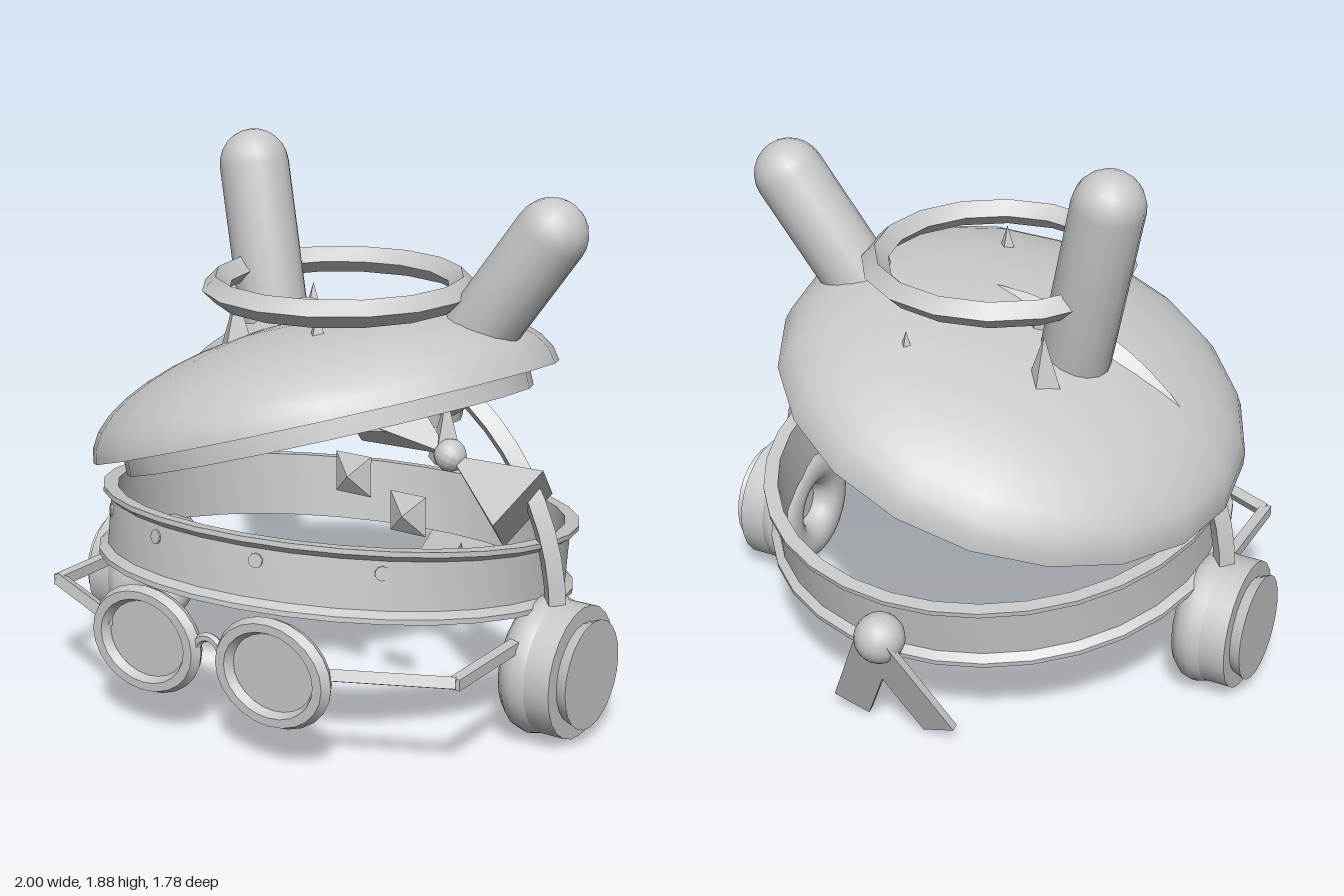
import * as THREE from 'three';
import { toCreasedNormals } from 'three/addons/utils/BufferGeometryUtils.js';

const grey = new THREE.MeshStandardMaterial({ color: 0xc8c8c8 });
grey.name = 'plain grey';
const V = (x, y, z) => new THREE.Vector3(x, y, z);
const UP = V(0, 1, 0);

export function createModel() {
  const root = new THREE.Group();
  root.name = 'headwearSet';

  const add = (name, geometry, x = 0, y = 0, z = 0, parent = root) => {
    const mesh = new THREE.Mesh(toCreasedNormals(geometry, 0.6), grey);
    mesh.name = name;
    mesh.position.set(x, y, z);
    parent.add(mesh);
    return mesh;
  };
  const lathe = (points, segments) =>
    new THREE.LatheGeometry(points.map(([r, y]) => new THREE.Vector2(r, y)), segments);
  const ring = (r0, r1, y0, y1, segments) =>
    lathe([[r0, y0], [r1, y0], [r1, y1], [r0, y1], [r0, y0]], segments);
  // Stretches a y-axis part between two points
  const between = (name, make, a, b) => {
    const d = b.clone().sub(a);
    const m = add(name, make(d.length()));
    m.position.copy(a).add(b).multiplyScalar(0.5);
    m.quaternion.setFromUnitVectors(UP, d.normalize());
    return m;
  };

  // Tilted domed hat with a flat underside and a short band below it
  const hat = new THREE.Group();
  hat.name = 'hat';
  hat.position.set(-0.08, 0.955, 0.015);
  hat.quaternion.setFromUnitVectors(UP, V(-0.33, 1, -0.08).normalize());
  root.add(hat);
  const dome = [[0, 0]];
  for (let i = 0; i <= 10; i++) {
    const a = (i / 10) * Math.PI / 2;
    dome.push([0.825 * Math.cos(a), 0.33 * Math.sin(a)]);
  }
  add('hatDome', lathe(dome, 20), 0, 0, 0, hat);
  add('hatBand', ring(0.645, 0.72, -0.065, 0.01, 20), 0, 0, 0, hat);

  // Rounded ears
  const ear = (len) => new THREE.CapsuleGeometry(0.122, len, 6, 16);
  between('rightEar', ear, V(-0.32, 1.12, -0.04), V(-0.465, 1.765, -0.105));
  between('leftEar', ear, V(0.355, 1.12, -0.04), V(0.725, 1.65, -0.09));

  // Halo
  add('halo', new THREE.TorusGeometry(0.42, 0.046, 4, 16).rotateX(Math.PI / 2), 0, 1.42, 0.05);

  // Crown buried in the hat: its spikes come out on top, its ring below
  const crown = new THREE.Group();
  crown.name = 'crown';
  crown.position.set(0, 0.975, -0.015);
  crown.rotation.x = -0.1;
  root.add(crown);
  add('crownRing', ring(0.365, 0.39, 0, 0.1, 20), 0, 0, 0, crown);
  for (let i = 0; i < 5; i++) {
    const a = (i / 5) * Math.PI * 2;
    const x = 0.385 * Math.cos(a), z = 0.385 * Math.sin(a) - 0.015;
    add('crownSpike', new THREE.ConeGeometry(0.075, 0.22, 4), x, 1.255 + 0.12 * z, z);
  }
  add('hatPeg', new THREE.CylinderGeometry(0.036, 0.036, 0.2, 6), -0.19, 1.23, -0.03);

  // Headphones
  add('headphoneArch', new THREE.TorusGeometry(0.86, 0.04, 4, 28, Math.PI), 0, 0.425, 0.06);
  for (const s of [1, -1]) {
    const cup = new THREE.Group();
    cup.name = s > 0 ? 'leftEarCup' : 'rightEarCup';
    cup.position.set(0, 0.245, 0.055);
    root.add(cup);
    const shell = new THREE.CylinderGeometry(0.225, 0.225, 0.13, 24).rotateZ(Math.PI / 2);
    add('cupShell', shell, s * 0.895, 0, 0, cup);
    const cap = new THREE.CylinderGeometry(0.185, 0.17, 0.04, 24).rotateZ(-s * Math.PI / 2);
    add('cupCap', cap, s * 0.98, 0, 0, cup);
    add('cupPad', new THREE.TorusGeometry(0.155, 0.081, 12, 24).rotateY(Math.PI / 2), s * 0.828, 0, 0, cup);
  }

  // Flanged headband with studs on its front
  const band = new THREE.Group();
  band.name = 'headband';
  band.position.set(0, 0.5505, 0.055);
  band.rotation.x = -0.153;
  root.add(band);
  add('bandWall', lathe([
    [0.775, -0.117], [0.825, -0.117], [0.825, -0.1], [0.797, -0.08], [0.797, 0.08],
    [0.825, 0.1], [0.825, 0.117], [0.775, 0.117], [0.775, -0.117],
  ], 32), 0, 0, 0, band);
  for (const deg of [-43.5, -14.5, 14.5, 43.5]) {
    const a = deg * Math.PI / 180;
    const stud = add('stud', new THREE.CylinderGeometry(0.024, 0.024, 0.018, 10).rotateX(Math.PI / 2),
      0.791 * Math.sin(a), 0.04, 0.791 * Math.cos(a), band);
    stud.rotation.y = a;
  }

  // Ribbon at the back: knot and two tails
  add('backKnot', new THREE.SphereGeometry(0.086, 16, 12), 0, 0.417, -0.807);
  const tails = new THREE.Group();
  tails.name = 'backTails';
  tails.position.set(0, 0.408, -0.845);
  tails.rotation.x = -0.36;
  root.add(tails);
  for (const s of [1, -1]) {
    const tail = add('backTail', new THREE.BoxGeometry(0.135, 0.42, 0.025).translate(0, -0.21, 0), 0, 0, 0, tails);
    tail.rotation.z = s * 0.41;
  }

  // Glasses
  for (const s of [1, -1]) {
    add('lensRim', new THREE.TorusGeometry(0.19, 0.034, 6, 24).scale(1, 0.83, 1), s * 0.255, 0.338, 0.802);
    add('lens', new THREE.CylinderGeometry(0.175, 0.175, 0.02, 24).rotateX(Math.PI / 2).scale(1, 0.83, 1),
      s * 0.255, 0.338, 0.79);
    const bar = (len) => new THREE.BoxGeometry(0.038, len, 0.038);
    between('glassesHinge', bar, V(s * 0.4, 0.365, 0.79), V(s * 0.81, 0.365, 0.6));
    between('glassesArm', bar, V(s * 0.81, 0.365, 0.61), V(s * 0.81, 0.365, 0.15));
  }
  add('noseBridge', new THREE.TorusGeometry(0.05, 0.016, 6, 12, Math.PI), 0, 0.35, 0.8);

  // Bow under the raised side of the hat
  const bow = new THREE.Group();
  bow.name = 'bow';
  bow.position.set(0.48, 0.92, 0.11);
  bow.rotation.z = -0.45;
  root.add(bow);
  add('bowKnot', new THREE.SphereGeometry(0.055, 12, 8), 0, 0, 0, bow);
  for (const s of [1, -1]) {
    const loop = new THREE.ConeGeometry(0.195, 0.31, 4).translate(0, -0.155, 0).rotateZ(s * Math.PI / 2);
    add('bowLoop', loop.scale(1, 0.82, 1), 0, 0, 0, bow);
  }
  add('bowSpike', new THREE.ConeGeometry(0.068, 0.22, 4), 0.445, 1.0, 0.08);

  // Flattened gems beside the bow
  for (const [x, y, z] of [[0.32, 0.915, 0.44], [0.48, 0.79, 0.365]]) {
    add('gem', new THREE.OctahedronGeometry(0.095).rotateZ(Math.PI / 4).scale(1, 1, 0.4), x, y, z);
  }

  // Berries under the low side of the hat
  for (const [x, y, z] of [[-0.57, 0.8, 0.26], [-0.64, 0.77, 0.29], [-0.71, 0.78, 0.22]]) {
    add('berry', new THREE.SphereGeometry(0.066, 12, 8), x, y, z);
  }
  return root;
}
